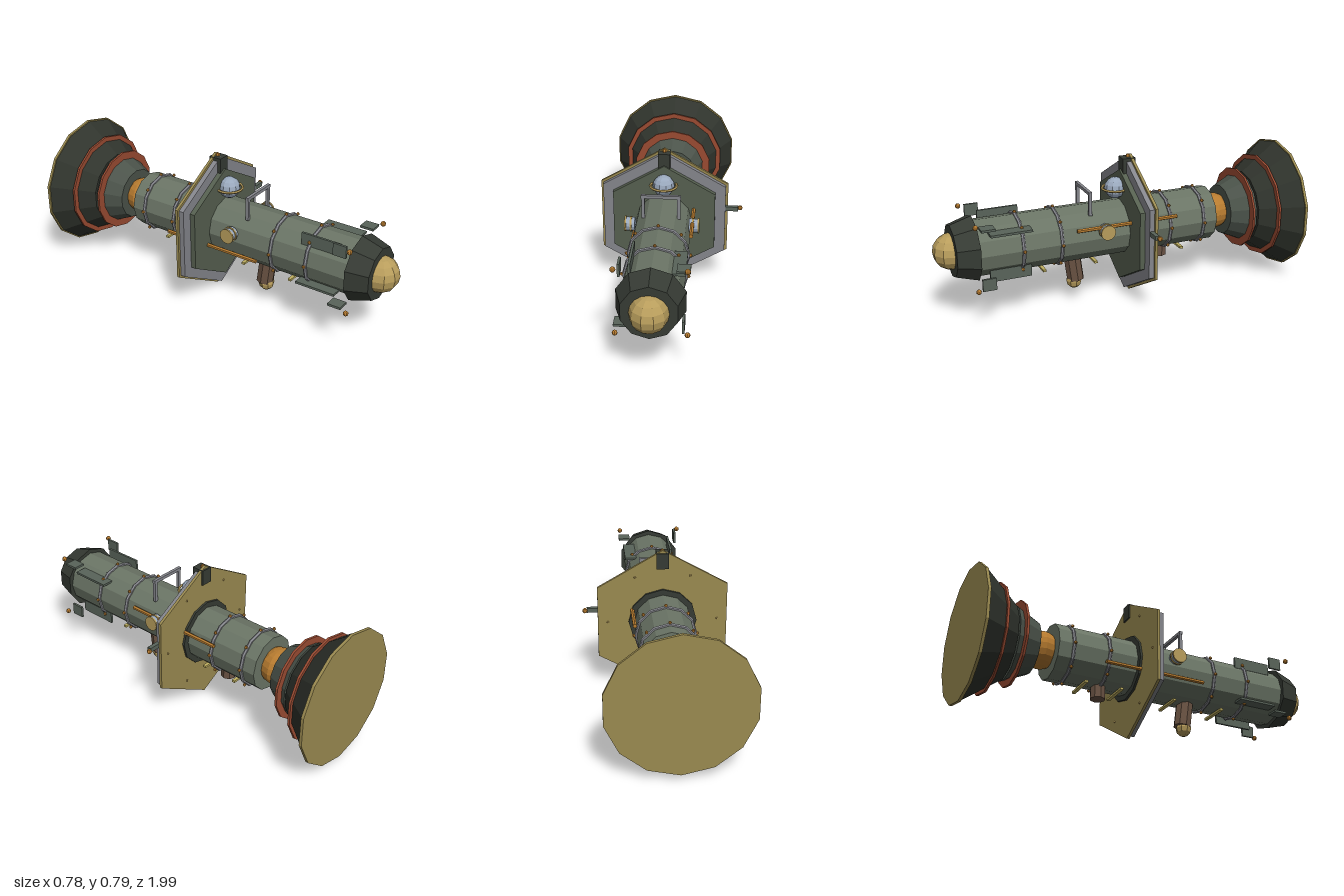
import * as THREE from 'three';

const CX = -0.033, CY = 0.4; // long axis of the craft

const mat = (color) => new THREE.MeshStandardMaterial({ color, flatShading: true });
const M = {
  green: mat(0x6b7566), panel: mat(0x59645a), shield: mat(0x566050), dark: mat(0x363b34),
  bell: mat(0x4b534a), bellDark: mat(0x30342d), gold: mat(0xb89d5c), plate: mat(0x9a8a50),
  red: mat(0x9a4b32), orange: mat(0xb87c30), blue: mat(0x9aa9bd), grey: mat(0x85868c),
  brown: mat(0x6b5444), strip: mat(0xc0b060),
};

export function createModel() {
  const model = new THREE.Group();
  const axis = new THREE.Group();
  axis.name = 'craft';
  axis.position.set(CX, CY, 0);
  model.add(axis);

  // All positions below are relative to the long axis
  const add = (name, geo, m, x = 0, y = 0, z = 0) => {
    const mesh = new THREE.Mesh(geo, m);
    mesh.name = name;
    mesh.position.set(x, y, z);
    axis.add(mesh);
    return mesh;
  };
  const box = (name, m, w, h, d, x, y, z) => add(name, new THREE.BoxGeometry(w, h, d), m, x, y, z);
  const ball = (name, m, r, x, y, z, seg = 6, rows = 5) => add(name, new THREE.SphereGeometry(r, seg, rows), m, x, y, z);
  // Prism or frustum along z, from the front end z0 to the rear end z1
  const barrel = (name, m, r0, r1, z0, z1, sides, x = 0, y = 0) =>
    add(name, new THREE.CylinderGeometry(r0, r1, z0 - z1, sides).rotateX(Math.PI / 2), m, x, y, (z0 + z1) / 2);

  // Hull, nose collar and nose dome
  barrel('hull', M.green, 0.15, 0.15, 0.79, -0.55, 12);
  barrel('noseCollar', M.dark, 0.14, 0.175, 0.9, 0.785, 10);
  ball('noseDome', M.gold, 0.095, 0, 0, 0.9, 10, 8);

  // Hull bands with bolts
  for (const z of [0.557, 0.35, -0.27, -0.47]) {
    add('hullBand', new THREE.TorusGeometry(0.153, 0.01, 6, 12), M.grey, 0, 0, z);
    for (let i = 0; i < 8; i++) {
      const a = i * Math.PI / 4;
      ball('bandBolt', M.orange, 0.009, 0.163 * Math.cos(a), 0.163 * Math.sin(a), z);
    }
  }

  // Hexagonal shield in three steps, with a dark rear collar
  barrel('shieldFront', M.shield, 0.316, 0.316, -0.03, -0.06, 6);
  barrel('shieldMiddle', M.grey, 0.38, 0.38, -0.058, -0.086, 6);
  barrel('shieldRear', M.plate, 0.395, 0.395, -0.085, -0.1, 6);
  barrel('shieldCollar', M.dark, 0.18, 0.18, -0.1, -0.112, 12);
  for (let i = 0; i < 6; i++) {
    const a = i * Math.PI / 3;
    ball('shieldBolt', M.gold, 0.006, 0.29 * Math.cos(a), 0.29 * Math.sin(a), -0.1);
  }

  // Rear joint, two-part bell, hoops and rear disc
  ball('rearJoint', M.orange, 0.1, 0, 0, -0.597, 12, 10);
  barrel('bellNeck', M.bell, 0.14, 0.2, -0.645, -0.776, 14);
  barrel('bellSkirt', M.bellDark, 0.203, 0.358, -0.785, -0.987, 14);
  barrel('bellHoop', M.red, 0.226, 0.226, -0.739, -0.751, 14);
  barrel('bellHoop', M.red, 0.29, 0.29, -0.864, -0.876, 14);
  barrel('rearDisc', M.plate, 0.363, 0.363, -0.985, -1, 14);

  // Pinwheel of fins, hull panels and beacons around the nose
  for (let i = 0; i < 4; i++) {
    const a = i * Math.PI / 2, c = Math.cos(a), s = Math.sin(a);
    const at = (x, y) => [x * c - y * s, x * s + y * c];
    box('noseFin', M.panel, 0.065, 0.012, 0.073, ...at(0.151, 0.151), 0.747).rotation.z = a;
    box('hullPanel', M.panel, 0.065, 0.012, 0.22, ...at(0.126, 0.107), 0.62).rotation.z = a;
    ball('noseBeacon', M.orange, 0.014, ...at(0.172, 0.173), 0.81, 8, 6);
  }

  // Sensor dome with its ring
  ball('sensorDome', M.blue, 0.058, 0, 0.217, -0.005, 10, 8);
  add('sensorRing', new THREE.TorusGeometry(0.07, 0.007, 5, 16).rotateX(Math.PI / 2), M.gold, 0, 0.216, -0.005);

  // Handrail
  box('handrailBar', M.grey, 0.206, 0.017, 0.017, 0, 0.237, 0.175);
  for (const s of [-1, 1]) box('handrailPost', M.grey, 0.017, 0.12, 0.017, s * 0.092, 0.176, 0.175);

  // Box and beacon on the upper corner of the shield
  box('topBox', M.dark, 0.064, 0.085, 0.07, 0, 0.337, -0.074);
  ball('topBeacon', M.orange, 0.013, 0, 0.384, -0.08);

  // Side antenna
  box('antennaArm', M.panel, 0.08, 0.024, 0.022, 0.358, 0.062, -0.07);
  ball('antennaTip', M.orange, 0.014, 0.408, 0.062, -0.08);

  // Side rods and round side pods
  for (const s of [-1, 1]) {
    barrel('sideRod', M.orange, 0.011, 0.011, 0.273, -0.297, 6, s * 0.16, s * 0.066);
    const disc = (name, m, r, w, x) =>
      add(name, new THREE.CylinderGeometry(r, r, w, 12).rotateZ(Math.PI / 2), m, s * x, 0.045, 0.113);
    disc('podCore', M.blue, 0.036, 0.05, 0.167);
    disc('podFlange', M.gold, 0.041, 0.009, 0.163);
    disc('podCap', M.gold, 0.041, 0.009, 0.192);
  }

  // Underside periscope, stub and cross strips
  const tube = add('periscopeTube', new THREE.CylinderGeometry(0.047, 0.047, 0.14, 8), M.brown, 0, -0.202, 0.238);
  tube.rotation.x = 0.13;
  ball('periscopeHead', M.gold, 0.043, 0, -0.28, 0.238, 8, 6);
  add('rearStub', new THREE.CylinderGeometry(0.041, 0.041, 0.08, 8), M.brown, 0, -0.17, -0.27);
  for (const z of [0.43, 0.14, -0.17, -0.37]) box('crossStrip', M.strip, 0.167, 0.012, 0.018, 0, -0.16, z);

  return model;
}
